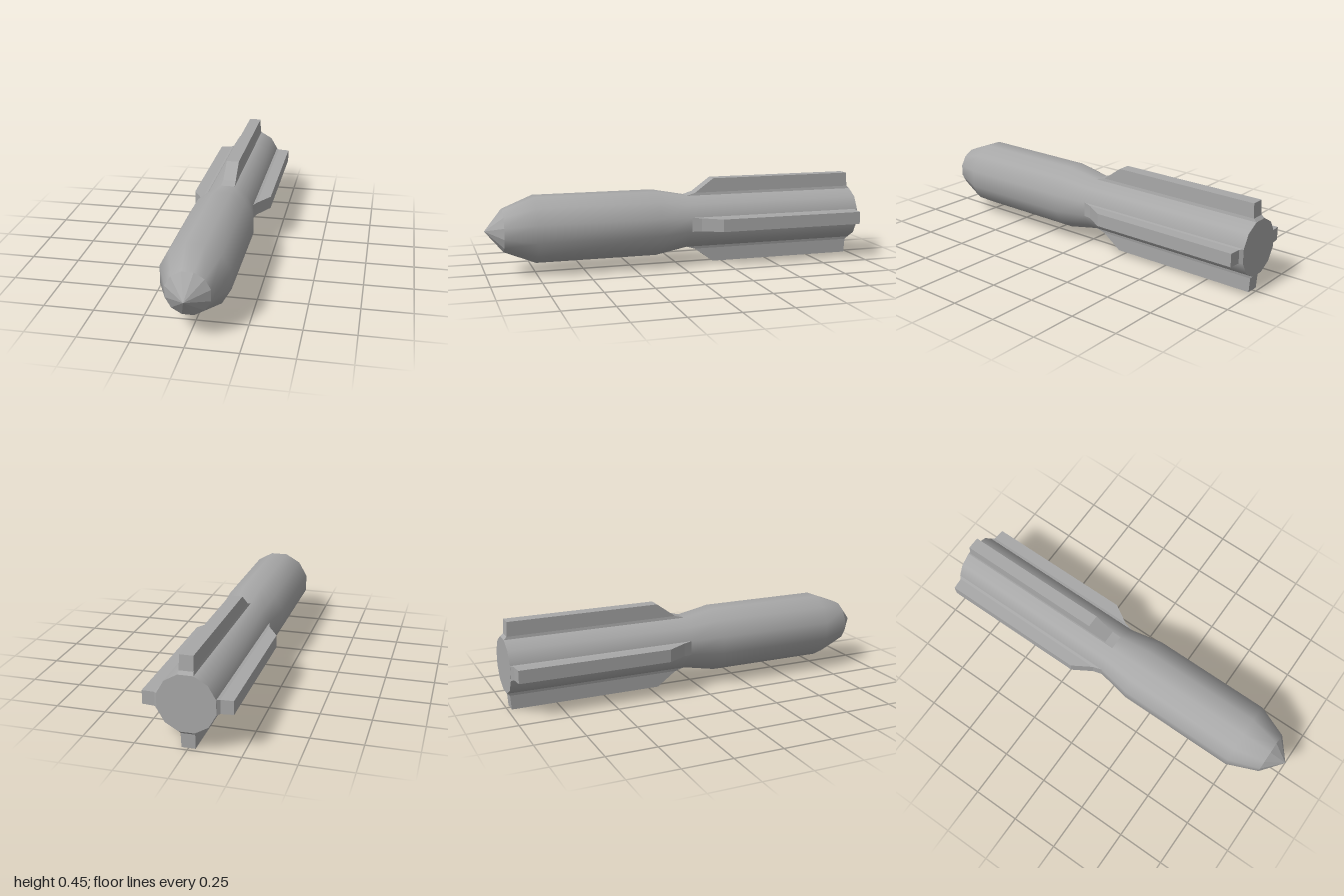
import * as THREE from 'three';

const SIDES = 12, TURN = Math.PI / 12;   // half a facet, so flats face up, down and sideways

// Solid of revolution along z; points are [flat-to-centre distance, z] from back to front
function revolve(points) {
  const k = 1 / Math.cos(TURN);
  const profile = points.map(([r, z]) => new THREE.Vector2(r * k, z));
  return new THREE.LatheGeometry(profile, SIDES, TURN).rotateX(Math.PI / 2);
}

function flat(geometry) {
  const g = geometry.index ? geometry.toNonIndexed() : geometry;
  g.computeVertexNormals();
  return g;
}

// Fin lofted outwards along +y through rectangular sections
function finGeometry(height) {
  const sections = [              // half width, distance out, front z, back z
    [0.037, 0.136, -0.05, -1],
    [0.034, 0.151, -0.1, -0.985],
    [0.033, height, -0.2, -0.98],
  ];
  const pos = [], index = [];
  for (const [w, r, f, b] of sections) pos.push(-w, r, f, w, r, f, w, r, b, -w, r, b);
  for (let s = 0; s < sections.length - 1; s++) {
    for (let i = 0; i < 4; i++) {
      const a = s * 4 + i, c = s * 4 + (i + 1) % 4;
      index.push(a, c, c + 4, a, c + 4, a + 4);
    }
  }
  index.push(8, 9, 10, 8, 10, 11);
  const g = new THREE.BufferGeometry();
  g.setAttribute('position', new THREE.Float32BufferAttribute(pos, 3));
  g.setIndex(index);
  return flat(g);
}

export function createModel() {
  const metal = new THREE.MeshStandardMaterial({ color: 0xa8a8a8 });
  metal.name = 'grey metal';
  const model = new THREE.Group();
  model.name = 'finnedProjectile';
  const add = (name, geometry) => {
    const mesh = new THREE.Mesh(geometry, metal);
    mesh.name = name;
    mesh.position.y = 0.224;
    model.add(mesh);
    return mesh;
  };

  // Smooth body with a slimmer tail
  add('body', revolve([
    [0.137, -1], [0.137, -0.05], [0.168, 0.12], [0.168, 0.75], [0.106, 0.91],
  ]));

  // Faceted nose point
  add('noseTip', flat(revolve([[0.106, 0.91], [0, 1]])));

  // Flat tail end
  const cap = new THREE.CircleGeometry(0.137 / Math.cos(TURN), SIDES, TURN);
  add('tailCap', cap.rotateY(Math.PI).translate(0, 0, -1));

  // Four fins, the side pair slightly shorter
  ['topFin', 'rightFin', 'bottomFin', 'leftFin'].forEach((name, i) => {
    add(name, finGeometry(i % 2 ? 0.211 : 0.224)).rotation.z = i * Math.PI / 2;
  });
  return model;
}
